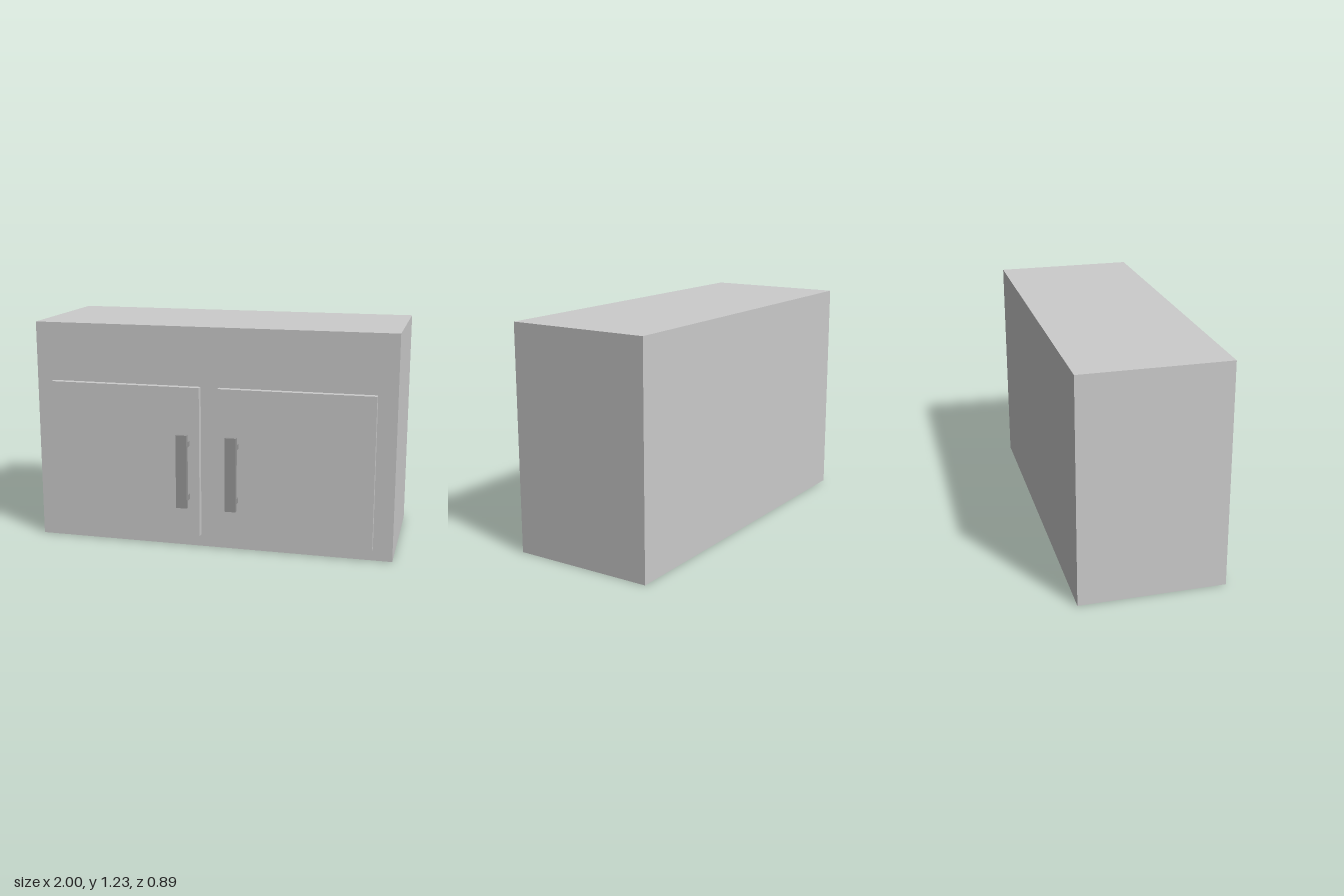
import * as THREE from 'three';

const bodyMaterial = new THREE.MeshStandardMaterial({ color: 0xcccccc });
const handleMaterial = new THREE.MeshStandardMaterial({ color: 0x999999 });

// Box given by its extents along each axis
function box(name, [x0, x1], [y0, y1], [z0, z1], material) {
  const mesh = new THREE.Mesh(new THREE.BoxGeometry(x1 - x0, y1 - y0, z1 - z0), material);
  mesh.position.set((x0 + x1) / 2, (y0 + y1) / 2, (z0 + z1) / 2);
  mesh.name = name;
  return mesh;
}

// Bar handle on two stand-off posts
function createHandle(name, x) {
  const handle = new THREE.Group();
  handle.name = name;
  handle.add(
    box('handleBar', x, [0.243, 0.652], [0.419, 0.445], handleMaterial),
    box('upperPost', x, [0.581, 0.61], [0.383, 0.419], handleMaterial),
    box('lowerPost', x, [0.282, 0.311], [0.383, 0.419], handleMaterial)
  );
  return handle;
}

export function createModel() {
  const cabinet = new THREE.Group();
  cabinet.name = 'cabinet';

  // Carcass
  cabinet.add(box('carcass', [-1, 1], [0, 1.227], [-0.445, 0.344], bodyMaterial));

  // Doors with their handles near the middle
  const doors = [
    { side: 'right', door: [-0.905, -0.056], handle: [-0.171, -0.11] },
    { side: 'left', door: [0.045, 0.895], handle: [0.102, 0.163] },
  ];
  for (const { side, door, handle } of doors) {
    cabinet.add(box(`${side}Door`, door, [0.068, 0.903], [0.344, 0.383], bodyMaterial));
    cabinet.add(createHandle(`${side}Handle`, handle));
  }
  return cabinet;
}
